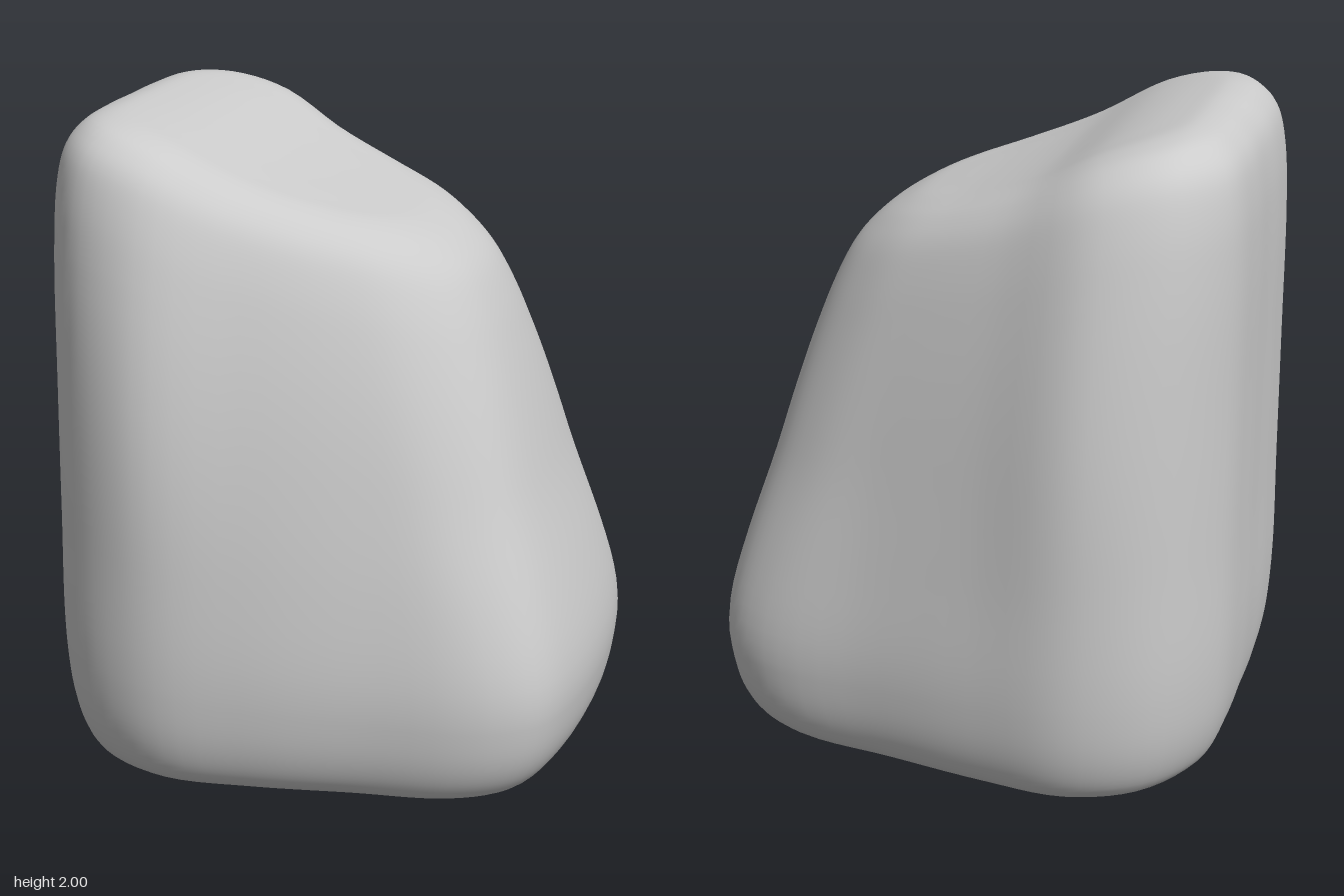
import * as THREE from 'three';

// Half outlines (x, z) of the rock seen from above, from the tall wall round to the sloped face
const OUTLINES = [
  [[-0.8, 0], [-0.8, 0.2], [-0.775, 0.44], [-0.63, 0.67], [-0.4, 0.767], [-0.1, 0.733], [0.25, 0.66], [0.58, 0.59], [0.73, 0.48], [0.793, 0.25]],
  [[-0.8, 0], [-0.8, 0.2], [-0.775, 0.43], [-0.63, 0.655], [-0.4, 0.755], [-0.1, 0.68], [0.2, 0.59], [0.43, 0.51], [0.57, 0.39], [0.63, 0.2]],
  [[-0.8, 0], [-0.8, 0.2], [-0.77, 0.42], [-0.64, 0.57], [-0.42, 0.62], [-0.15, 0.55], [0.08, 0.465], [0.25, 0.37], [0.36, 0.26], [0.42, 0.12]],
];
// Rounded wall profile: scale of the outline, fraction of the local height
const PROFILE = [
  [0, 0], [0.35, 0], [0.6, 0.003], [0.79, 0.017], [0.91, 0.05], [0.97, 0.11], [1, 0.21], [1, 0.4], [1, 0.6],
  [1, 0.8], [0.985, 0.89], [0.95, 0.945], [0.87, 0.98], [0.74, 0.997], [0.55, 1], [0.25, 1], [0, 1],
];
// Height of the sloping top along x
const TOP = [[-0.9, 2], [-0.75, 2.005], [-0.6, 2], [-0.4, 1.945], [-0.2, 1.84], [0, 1.765], [0.2, 1.705],
  [0.36, 1.65], [0.5, 1.62], [0.85, 1.6]];
const CENTRE_X = -0.2;

function topHeight(x) {
  let i = 0;
  while (i < TOP.length - 2 && x > TOP[i + 1][0]) i++;
  const slope = (k) => {
    const a = TOP[Math.max(k - 1, 0)], b = TOP[Math.min(k + 1, TOP.length - 1)];
    return (b[1] - a[1]) / (b[0] - a[0]);
  };
  const [x0, y0] = TOP[i], [x1, y1] = TOP[i + 1];
  const w = x1 - x0, u = (x - x0) / w, v = 1 - u;
  return y0 * (1 + 2 * u) * v * v + y1 * u * u * (3 - 2 * u) + w * u * v * (slope(i) * v - slope(i + 1) * u);
}

// Share of each outline at a height fraction: upright near the base, then smoothly tapering
function outlineWeights(t) {
  const q = (Math.min(Math.max(t, 0.2), 1) - 0.2) / 0.4;
  const u = q < 1 ? q : q - 1;
  const s = u * u * (3 - 2 * u), end = u * u * (u - 1), start = u * (1 - u) * (1 - u) / 2;
  return q < 1 ? [1 - s - end / 2, s, end / 2] : [-start, 1 - s - end, s + start + end];
}

// Mirror a half outline and smooth it into a closed curve
function outlineCurve(half) {
  const mirrored = half.slice(1).reverse().map(([x, z]) => [x, -z]);
  const points = [...half, ...mirrored].map(([x, z]) => new THREE.Vector3(x, 0, z));
  return new THREE.CatmullRomCurve3(points, true, 'centripetal');
}

function rockGeometry(rings = 96, sides = 95) {
  const loops = OUTLINES.map((half) => {
    const curve = outlineCurve(half);
    return Array.from({ length: sides }, (_, j) => curve.getPoint(j / sides));
  });
  const profile = new THREE.CatmullRomCurve3(PROFILE.map(([s, t]) => new THREE.Vector3(s, t, 0)), false, 'centripetal');
  const positions = [], index = [];
  for (let i = 0; i <= rings; i++) {
    const p = profile.getPoint(i / rings);
    const weights = outlineWeights(p.y);
    for (let j = 0; j < sides; j++) {
      const pt = new THREE.Vector3();
      loops.forEach((loop, k) => pt.addScaledVector(loop[j], weights[k]));
      const x = CENTRE_X + (pt.x - CENTRE_X) * p.x;
      positions.push(x, Math.max(p.y, 0) * topHeight(x), pt.z * p.x);
      if (i < rings) {
        const a = i * sides + j, b = i * sides + (j + 1) % sides;
        if (i > 0) index.push(a, b, b + sides);
        if (i < rings - 1) index.push(a, b + sides, a + sides);
        else index.push(a, b, a + sides);
      }
    }
  }
  const geometry = new THREE.BufferGeometry();
  geometry.setAttribute('position', new THREE.Float32BufferAttribute(positions, 3));
  geometry.setIndex(index);
  geometry.computeVertexNormals();
  // Flat centres of the underside and the top
  const normal = geometry.attributes.normal;
  const tilt = new THREE.Vector3(0.45, 1, 0).normalize();
  for (let j = 0; j < sides; j++) {
    normal.setXYZ(j, 0, -1, 0);
    normal.setXYZ(rings * sides + j, tilt.x, tilt.y, tilt.z);
  }
  return geometry;
}

export function createModel() {
  const group = new THREE.Group();
  group.name = 'boulder';
  const rock = new THREE.Mesh(rockGeometry(), new THREE.MeshStandardMaterial({ color: 0xcccccc }));
  rock.name = 'rock';
  group.add(rock);
  return group;
}
